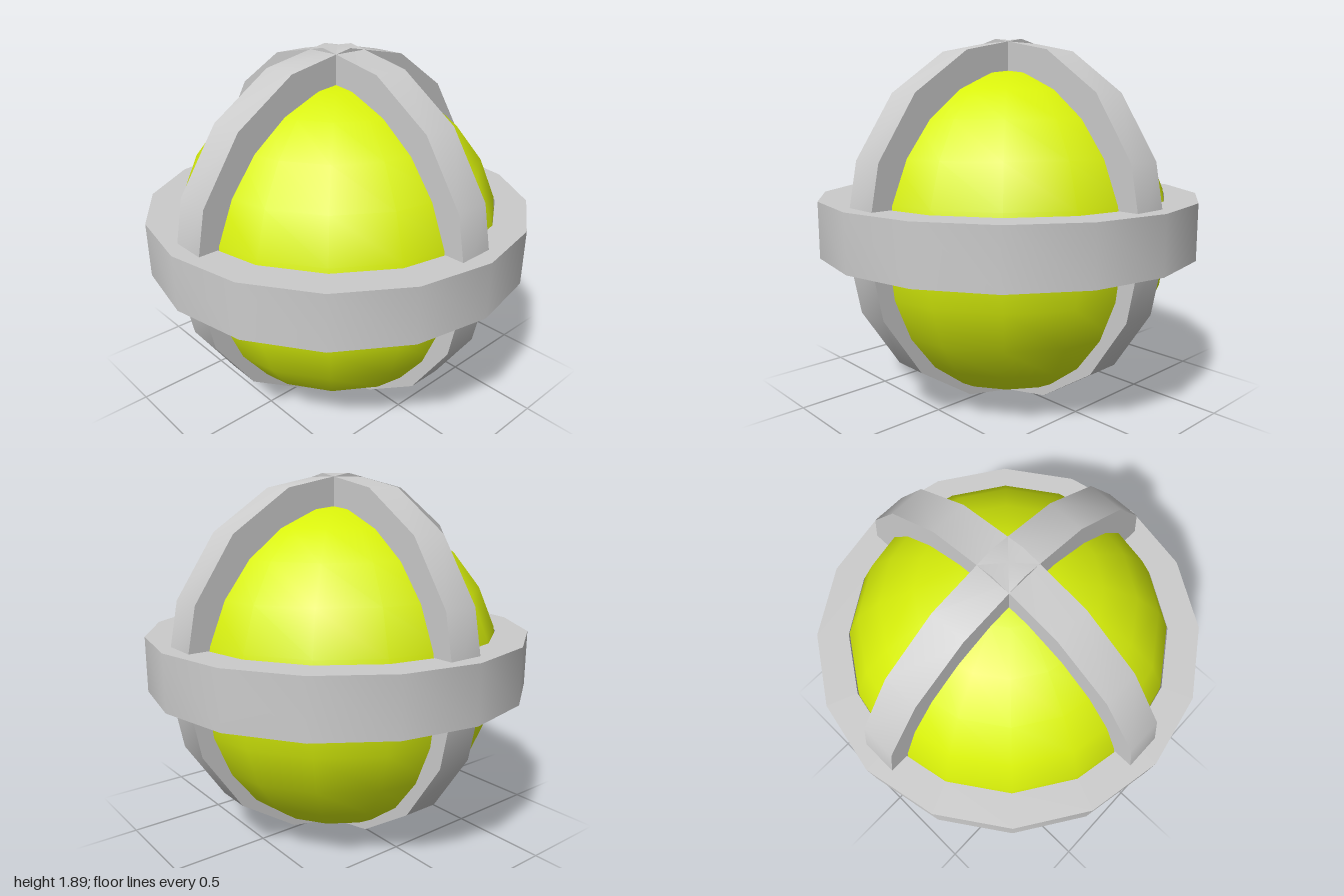
import * as THREE from 'three';
import { toCreasedNormals } from 'three/addons/utils/BufferGeometryUtils.js';

const SIDES = 16;

// Flat hoop with a rectangular section, lying around the y axis
function hoop(inner, outer, width) {
  const h = width / 2;
  const profile = [[outer, -h], [outer, h], [inner, h], [inner, -h], [outer, -h]]
    .map(([r, y]) => new THREE.Vector2(r, y));
  return toCreasedNormals(new THREE.LatheGeometry(profile, SIDES), 0.6);
}

export function createModel() {
  const model = new THREE.Group();
  const grey = new THREE.MeshStandardMaterial({ color: 0xcccccc });
  const lime = new THREE.MeshStandardMaterial({ color: 0xd8f00a });

  const add = (name, geometry, material, y) => {
    const mesh = new THREE.Mesh(geometry, material);
    mesh.name = name;
    mesh.position.y = y;
    model.add(mesh);
    return mesh;
  };

  // Inner ball, sitting slightly low inside the cage
  add('ball', new THREE.SphereGeometry(0.855, SIDES, 12), lime, 0.888);

  // Wide belt around the equator
  add('equatorBand', hoop(0.835, 1, 0.285), grey, 0.947);

  // Two narrow upright hoops crossing at the poles
  const bandGeometry = hoop(0.79, 0.944, 0.186);
  add('sideToSideBand', bandGeometry, grey, 0.944).rotation.x = Math.PI / 2;
  add('frontToBackBand', bandGeometry, grey, 0.944).rotation.z = Math.PI / 2;

  return model;
}
